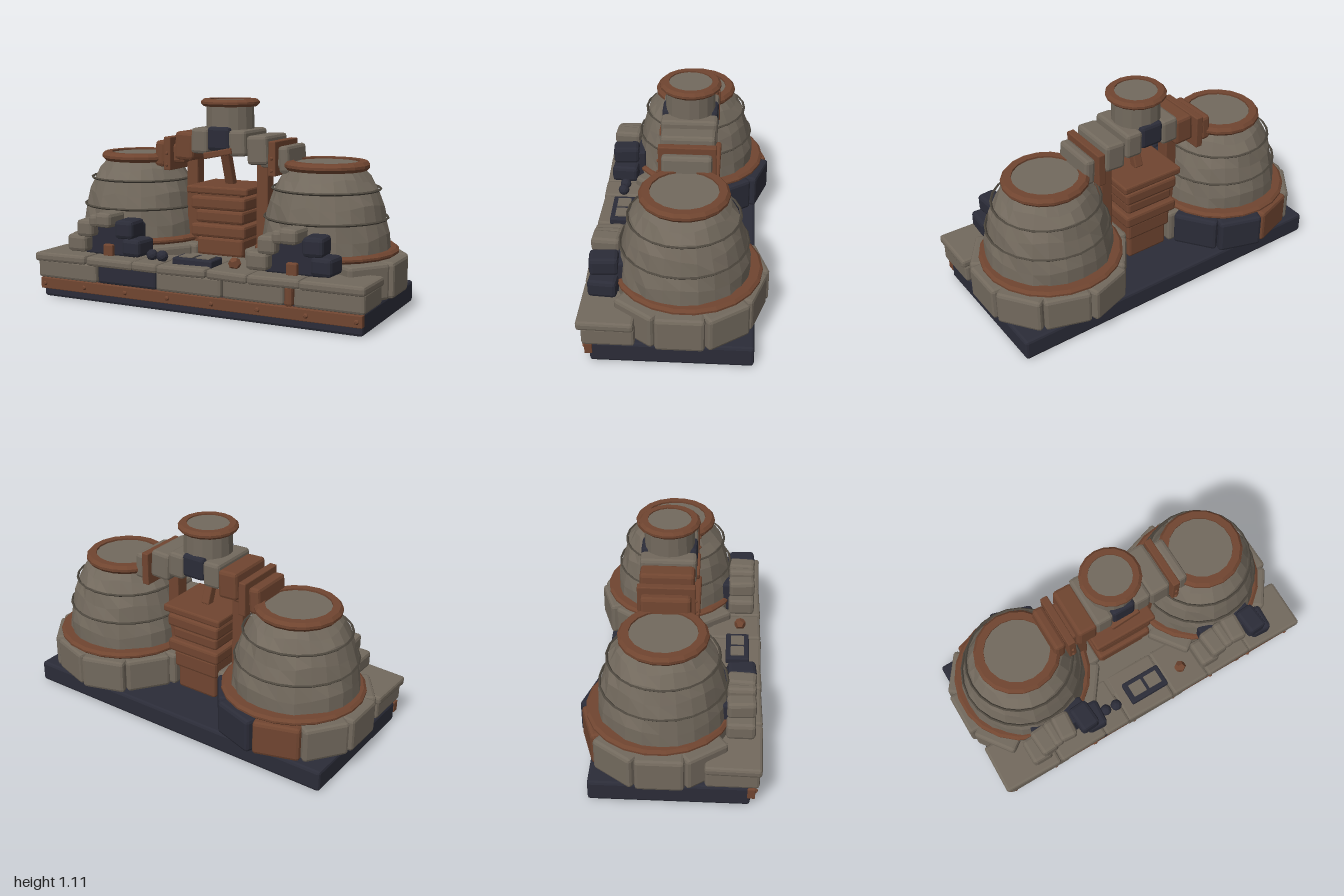
import * as THREE from 'three';
import { RoundedBoxGeometry } from 'three/addons/geometries/RoundedBoxGeometry.js';

const stone = new THREE.MeshStandardMaterial({ color: 0x72695d });
const wood = new THREE.MeshStandardMaterial({ color: 0x704530 });
const dark = new THREE.MeshStandardMaterial({ color: 0x2b2c38 });
const seam = new THREE.MeshStandardMaterial({ color: 0x4c463d });
stone.name = 'stone'; wood.name = 'wood'; dark.name = 'darkSlate'; seam.name = 'seam';

const DX = 0.57, DZ = -0.045; // kiln centre

// faceted normals
function flat(geo) {
  const g = geo.index ? geo.toNonIndexed() : geo;
  g.computeVertexNormals();
  return g;
}

function add(parent, name, geo, mat, x = 0, y = 0, z = 0) {
  const m = new THREE.Mesh(geo, mat);
  m.name = name;
  m.position.set(x, y, z);
  parent.add(m);
  return m;
}

// chamfered block given by its extents
function block(parent, name, mat, x0, x1, y0, y1, z0, z1, r = 0.015) {
  const w = x1 - x0, h = y1 - y0, d = z1 - z0;
  const geo = new RoundedBoxGeometry(w, h, d, 1, Math.min(r, w / 3, h / 3, d / 3));
  return add(parent, name, flat(geo), mat, (x0 + x1) / 2, (y0 + y1) / 2, (z0 + z1) / 2);
}

function lathe(points, seg) {
  return new THREE.LatheGeometry(points.map(p => new THREE.Vector2(p[0], p[1])), seg);
}

// closed ring with a chamfered outer edge
function ring(parent, name, mat, ri, ro, y0, y1, seg, x, z) {
  const c = (y1 - y0) * 0.35, k = 0.015;
  const pts = [[ri, y0], [ro - k, y0], [ro, y0 + c], [ro, y1 - c], [ro - k, y1], [ri, y1], [ri, y0]];
  return add(parent, name, flat(lathe(pts, seg)), mat, x, 0, z);
}

// rough-hewn dome: every vertex is shifted by a repeating rule
function domeGeometry() {
  const seg = 24;
  const pts = [[0.345, 0.31], [0.337, 0.42], [0.318, 0.5], [0.302, 0.58], [0.275, 0.65], [0.235, 0.71], [0.18, 0.775]];
  const g = lathe(pts, seg), p = g.attributes.position;
  for (let i = 0; i < p.count; i++) {
    const col = Math.floor(i / pts.length) % seg, row = i % pts.length;
    const n = Math.sin(col * 12.99 + row * 78.23) * 43.758;
    const k = 1 + 0.045 * (n - Math.floor(n) - 0.5);
    const lift = row === 0 || row === pts.length - 1 ? 0 : 0.012 * Math.sin(col * 5.1 + row * 2.3);
    p.setXYZ(i, p.getX(i) * k, p.getY(i) + lift, p.getZ(i) * k);
  }
  return flat(g);
}

function kiln(side) {
  const g = new THREE.Group();
  g.name = side > 0 ? 'leftKiln' : 'rightKiln';
  const x = side * DX;
  add(g, 'kilnFooting', flat(new THREE.CylinderGeometry(0.36, 0.36, 0.2, 20)), stone, x, 0.21, DZ);
  add(g, 'kilnDome', domeGeometry(), stone, x, 0, DZ);
  ring(g, 'baseBand', wood, 0.32, 0.385, 0.312, 0.348, 22, x, DZ - 0.02);
  ring(g, 'rimBand', wood, 0.175, 0.23, 0.752, 0.8, 18, x, DZ);
  add(g, 'kilnCap', flat(new THREE.CylinderGeometry(0.185, 0.185, 0.03, 18)), stone, x, 0.775, DZ);
  // thin hoops around the courses
  for (const [r, y] of [[0.328, 0.503], [0.287, 0.655]]) {
    const hoop = add(g, 'hoop', flat(new THREE.TorusGeometry(r, 0.007, 4, 24)), seam, x, y, DZ);
    hoop.rotation.x = Math.PI / 2;
  }
  // footing blocks; the front ones give way to the deck
  for (let i = 0; i < 10; i++) {
    if (i === 7 || i === 8) continue;
    const a = i * Math.PI / 5;
    let mat = stone;
    if (side < 0 && i === 2) mat = wood;
    if (side < 0 && (i === 3 || i === 4)) mat = dark;
    const r = 0.355 + 0.008 * Math.sin(i * 2.7);
    const b = add(g, 'footingBlock', flat(new RoundedBoxGeometry(0.13, 0.19, 0.25, 1, 0.018)), mat,
      x + side * r * Math.cos(a), 0.215, DZ - r * Math.sin(a));
    b.rotation.y = side * a;
  }
  return g;
}

// stoke hole with its arch of stones
function hearth(x) {
  const g = new THREE.Group();
  g.name = 'hearth';
  block(g, 'hearthMouth', dark, x - 0.16, x + 0.16, 0.26, 0.44, 0.24, 0.36, 0.01);
  block(g, 'hearthPeg', wood, x - 0.03, x + 0.03, 0.255, 0.325, 0.35, 0.385, 0.008);
  const stones = [
    [-0.175, 0.325, 0.12, 0.095, stone], [-0.125, 0.41, 0.1, 0.095, stone],
    [0.0, 0.462, 0.1, 0.08, stone], [-0.065, 0.455, 0.06, 0.07, stone],
    [0.125, 0.42, 0.11, 0.1, dark], [0.178, 0.325, 0.115, 0.095, dark],
  ];
  stones.forEach(([dx, y, w, h, mat], i) => {
    const b = block(g, 'archStone', mat, x + dx - w / 2, x + dx + w / 2, y - h / 2, y + h / 2, 0.28, 0.43, 0.02);
    b.rotation.y = 0.08 * Math.sin(i * 2.1);
  });
  return g;
}

export function createModel() {
  const model = new THREE.Group();
  model.name = 'twinKiln';

  // plinth with studded front board
  block(model, 'plinth', dark, -0.945, 0.945, 0, 0.118, -0.415, 0.41, 0.015);
  block(model, 'frontBoard', wood, -0.95, 0.95, 0.05, 0.113, 0.395, 0.435, 0.004);
  for (let i = 0; i < 8; i++) {
    add(model, 'stud', flat(new THREE.IcosahedronGeometry(0.014, 0)), wood, -0.92 + i * 0.263, 0.08, 0.436);
  }

  // front wall and deck
  const wall = [[-0.95, -0.565, stone], [-0.56, -0.195, dark], [-0.19, 0.195, stone], [0.2, 0.54, stone],
    [0.545, 0.59, wood], [0.595, 0.965, stone]];
  wall.forEach(([a, b, mat], i) =>
    block(model, 'wallStone', mat, a, b, 0.118, 0.225, 0.18, 0.455 - 0.008 * (i % 2)));
  [-0.965, -0.625, -0.335, -0.18, 0.115, 0.345, 0.63, 0.975].forEach((a, i, edges) => {
    if (i === edges.length - 1) return;
    const c = block(model, 'deckSlab', stone, a, edges[i + 1], 0.212, 0.262, 0.18, 0.468);
    c.rotation.z = 0.025 * Math.sin(i * 2.4 + 1);
    c.rotation.y = 0.025 * Math.sin(i * 1.9 - 1);
  });
  block(model, 'innerDeck', stone, -0.24, 0.24, 0.118, 0.258, 0.06, 0.3);

  for (const side of [1, -1]) model.add(kiln(side));
  model.add(hearth(0.555), hearth(-0.535));

  // tray and small goods on the deck
  block(model, 'tray', dark, -0.12, 0.115, 0.255, 0.295, 0.27, 0.4, 0.008);
  for (const x of [-0.052, 0.047]) {
    add(model, 'trayPanel', new THREE.BoxGeometry(0.08, 0.006, 0.075), stone, x, 0.297, 0.335);
  }
  for (const [x, z] of [[-0.27, 0.35], [-0.205, 0.355]]) {
    add(model, 'coalLump', flat(new THREE.IcosahedronGeometry(0.032, 1)), dark, x, 0.285, z);
  }
  add(model, 'woodLump', flat(new THREE.DodecahedronGeometry(0.034)), wood, 0.225, 0.285, 0.35);

  // stacked timber hopper between the kilns
  const layers = [[0.14, 0.255, 0.357], [0.165, 0.36, 0.432], [0.145, 0.437, 0.508], [0.165, 0.513, 0.585]];
  for (const [w, y0, y1] of layers) block(model, 'hopperTimber', wood, -w, w, y0, y1, -w - 0.035, w - 0.05);
  block(model, 'hopperCore', wood, -0.125, 0.125, 0.12, 0.61, -0.16, 0.08);
  block(model, 'hopperLid', wood, -0.185, 0.185, 0.6, 0.642, -0.21, 0.125, 0.01);
  for (const x of [-0.215, 0.215]) block(model, 'framePost', wood, x - 0.034, x + 0.034, 0.3, 0.8, -0.08, 0, 0.006);
  const chute = block(model, 'chute', wood, -0.025, 0.025, 0.63, 0.83, -0.05, 0.0, 0.006);
  chute.rotation.x = 0.35;

  // overhead duct stepping up to the chimney
  const duct = [
    [-0.41, -0.345, 0.73, 0.875, wood], [-0.275, -0.16, 0.775, 0.93, wood], [-0.17, -0.068, 0.815, 0.955, stone],
    [-0.07, 0.065, 0.835, 0.965, dark], [0.06, 0.16, 0.81, 0.95, stone], [0.165, 0.285, 0.77, 0.925, stone],
    [0.345, 0.405, 0.73, 0.875, stone],
  ];
  duct.forEach(([a, b, y0, y1, mat], i) => {
    const e = i > 1 && i < 5 ? 0.148 : i === 1 || i === 5 ? 0.142 : 0.13;
    const m = block(model, 'ductBlock', mat, a, b, y0, y1, DZ - e, DZ + e, 0.018);
    m.rotation.z = (3 - i) * -0.025;
  });
  for (const s of [-1, 1]) {
    block(model, 'ductCollar', wood, s * 0.318 - 0.021, s * 0.318 + 0.021, 0.715, 0.9, DZ - 0.15, DZ + 0.15, 0.005);
    block(model, 'ductCore', s > 0 ? stone : wood, s * 0.31 - 0.08, s * 0.31 + 0.08, 0.755, 0.86, DZ - 0.11, DZ + 0.11);
    for (const y of [0.745, 0.81]) {
      add(model, 'collarStud', flat(new THREE.IcosahedronGeometry(0.01, 0)), wood, s * 0.318, y, DZ + 0.151);
    }
  }
  const strip = block(model, 'ductStrip', wood, -0.085, 0.085, 0.805, 0.84, 0.08, 0.118, 0.006);
  strip.rotation.z = 0.2;

  // chimney
  add(model, 'chimney', flat(new THREE.CylinderGeometry(0.13, 0.134, 0.2, 16)), stone, 0, 0.995, DZ);
  ring(model, 'chimneyBand', wood, 0.115, 0.162, 1.072, 1.112, 18, 0, DZ);
  add(model, 'chimneyCap', flat(new THREE.CylinderGeometry(0.12, 0.12, 0.02, 18)), stone, 0, 1.095, DZ);

  return model;
}
